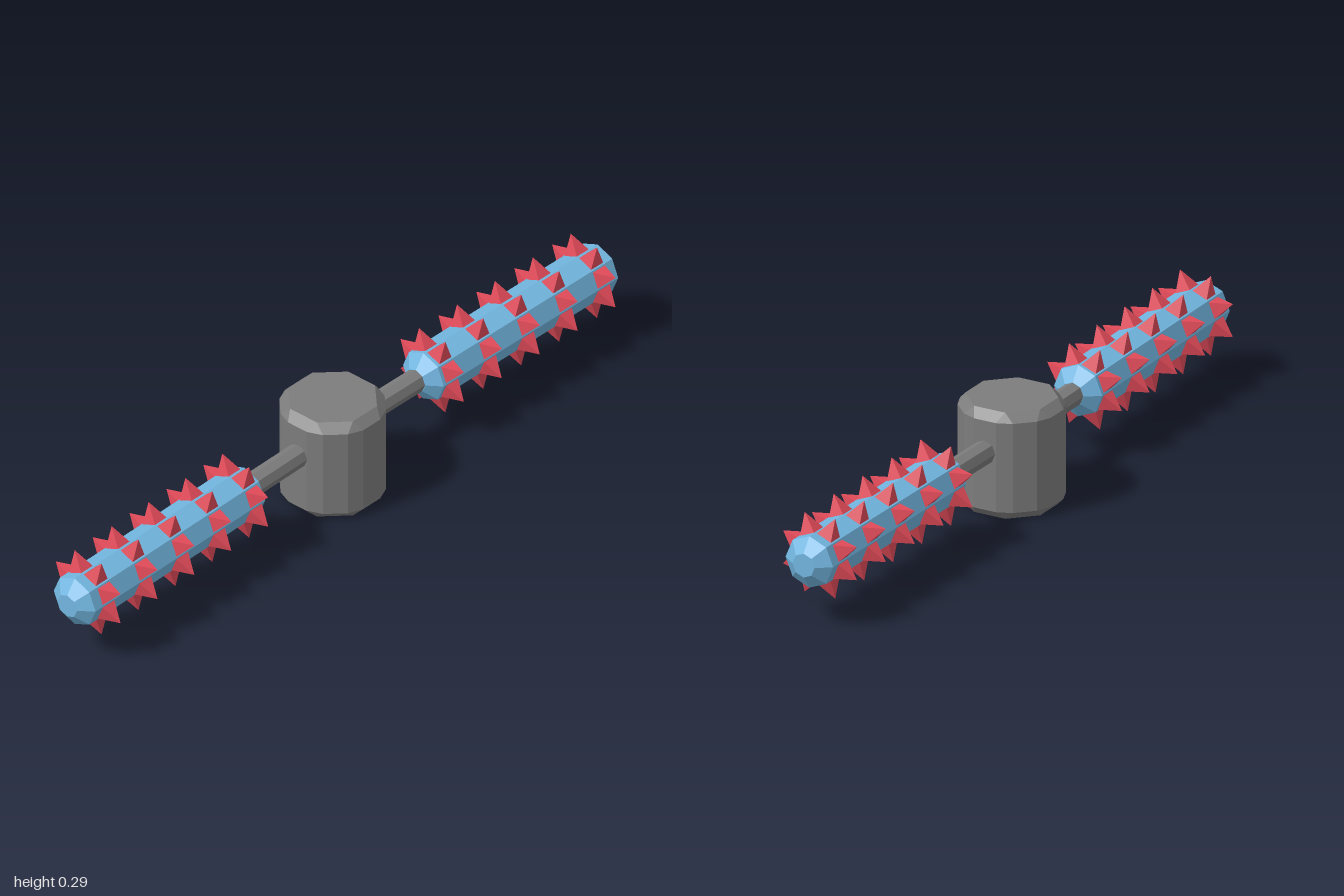
import * as THREE from 'three';
import { ConvexGeometry } from 'three/addons/geometries/ConvexGeometry.js';

const paint = (color) => new THREE.MeshStandardMaterial({ color, flatShading: true });
const grey = paint(0x7c7c7c);
const blue = paint(0x72b6e0);
const red = paint(0xe04a58);

function add(parent, name, geometry, material) {
  const mesh = new THREE.Mesh(geometry, material);
  mesh.name = name;
  parent.add(mesh);
  return mesh;
}

// Octagonal prism with every edge chamfered
function chamferedOctagon(apothem, height, bevel) {
  const half = apothem * Math.tan(Math.PI / 8);
  const inner = apothem - bevel;
  const capHalf = inner * Math.tan(Math.PI / 8);
  const points = [];
  const up = new THREE.Vector3(0, 1, 0);
  for (let i = 0; i < 8; i++) {
    for (const [capY, wallY] of [[0, bevel], [height, height - bevel]]) {
      const corners = [
        new THREE.Vector3(capHalf, capY, inner),
        new THREE.Vector3(half - bevel, wallY, apothem),
        new THREE.Vector3(bevel - half, wallY, apothem),
      ];
      for (const p of corners) points.push(p.applyAxisAngle(up, i * Math.PI / 4));
    }
  }
  return new ConvexGeometry(points);
}

// One arm reaching along +z: rod, roller and rings of spikes
function createArm(name) {
  const arm = new THREE.Group();
  arm.name = name;

  add(arm, 'rod', new THREE.CylinderGeometry(0.031, 0.031, 0.4, 8).rotateX(Math.PI / 2), grey)
    .position.z = 0.2;

  const profile = [[0, 0.305], [0.032, 0.305], [0.069, 0.333], [0.069, 0.972], [0.032, 1], [0, 1]]
    .map(([r, z]) => new THREE.Vector2(r, z));
  add(arm, 'roller', new THREE.LatheGeometry(profile, 8).rotateX(Math.PI / 2), blue);

  // Square pyramids centred on each face of the roller
  const spike = new THREE.ConeGeometry(0.032, 0.054, 4).rotateY(Math.PI / 4).translate(0, 0.089, 0);
  for (let row = 0; row < 5; row++) {
    const ring = new THREE.Group();
    ring.name = 'spikeRing';
    ring.position.z = 0.365 + row * 0.139;
    for (let i = 0; i < 8; i++) {
      add(ring, 'spike', spike, red).rotation.z = (i + 0.5) * Math.PI / 4;
    }
    arm.add(ring);
  }
  return arm;
}

export function createModel() {
  const model = new THREE.Group();
  model.name = 'spikedRotor';

  add(model, 'hub', chamferedOctagon(0.131, 0.285, 0.023), grey);

  // Both arms lean very slightly towards +x
  const lean = 0.0125;
  for (const [name, turn] of [['frontArm', lean], ['backArm', Math.PI - lean]]) {
    const arm = createArm(name);
    arm.position.y = 0.178;
    arm.rotation.y = turn;
    model.add(arm);
  }
  return model;
}
